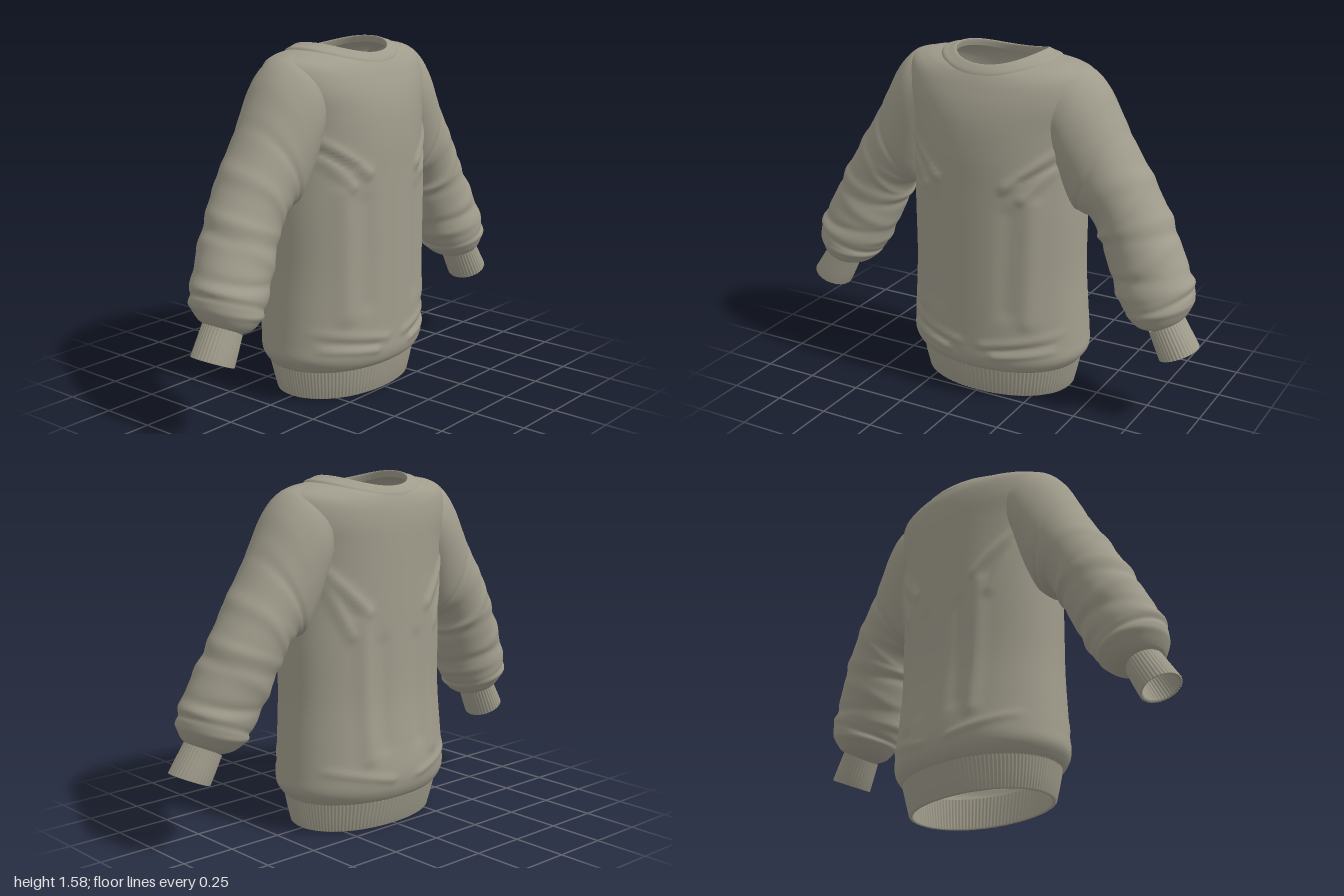
import * as THREE from 'three';

const knit = new THREE.MeshStandardMaterial({ color: 0xa09c8c, side: THREE.DoubleSide });
knit.name = 'greyKnit';

// Catmull-Rom interpolation through rows of numbers, t in row units
function sample(rows, t) {
  const i = Math.min(Math.floor(t), rows.length - 2), f = t - i;
  const at = k => rows[Math.max(0, Math.min(rows.length - 1, k))];
  const [p, q, r, s] = [at(i - 1), at(i), at(i + 1), at(i + 2)];
  return q.map((v, k) => v + 0.5 * f * (r[k] - p[k]
    + f * (2 * p[k] - 5 * v + 4 * r[k] - s[k] + f * (3 * (v - r[k]) + s[k] - p[k]))));
}

// Closed tube from cross-sections; point(i, angle) gives a Vector3
function loft(name, rings, segs, point) {
  const pos = [], index = [];
  for (let i = 0; i < rings; i++) {
    for (let j = 0; j < segs; j++) {
      const p = point(i, (j / segs) * Math.PI * 2);
      pos.push(p.x, p.y, p.z);
      if (i === rings - 1) continue;
      const a = i * segs + j, b = i * segs + (j + 1) % segs;
      index.push(a, a + segs, b, b, a + segs, b + segs);
    }
  }
  const geo = new THREE.BufferGeometry();
  geo.setAttribute('position', new THREE.Float32BufferAttribute(pos, 3));
  geo.setIndex(index);
  geo.computeVertexNormals();
  const mesh = new THREE.Mesh(geo, knit);
  mesh.name = name;
  return mesh;
}

// Horizontal body section: [side height, front/back height, half width, front depth, back depth]
function bodyPoint([ySide, yMid, w, front, back], a, power = 0.95, scale = 1) {
  const c = Math.cos(a), s = Math.sin(a);
  const x = Math.sign(c) * Math.abs(c) ** power * w * scale;
  const z = Math.sign(s) * Math.abs(s) ** power * (s > 0 ? front : back) * scale;
  return new THREE.Vector3(x, yMid + (ySide - yMid) * c * c, z);
}

// Cloth folds: [x1, y1, x2, y2, width, height], mirrored left to right
const frontFolds = [
  [0.37, 1.19, 0.17, 1.03, 0.022, 0.016], [0.35, 1.1, 0.24, 0.98, 0.02, 0.013],
  [0.36, 1.14, 0.23, 1.06, 0.012, -0.012], [0.28, 0.95, 0.27, 0.4, 0.04, 0.012],
  [0.18, 0.9, 0.17, 0.45, 0.04, -0.007], [0.38, 0.33, 0.06, 0.27, 0.018, 0.008],
  [0.36, 0.25, 0.12, 0.22, 0.016, 0.008], [0.36, 0.29, 0.12, 0.25, 0.01, -0.006],
];
const backFolds = [
  [0.37, 1.2, 0.18, 1.0, 0.025, 0.016], [0.35, 1.12, 0.25, 0.9, 0.022, 0.012],
  [0.2, 0.95, 0.19, 0.35, 0.035, 0.012], [0.1, 0.85, 0.1, 0.4, 0.035, -0.008],
  [0.36, 0.3, 0.08, 0.24, 0.018, 0.008],
];
function foldHeight(p) {
  let sum = 0;
  for (const [x1, y1, x2, y2, w, h] of p.z > 0 ? frontFolds : backFolds) {
    const dx = x2 - x1, dy = y2 - y1, px = Math.abs(p.x) - x1, py = p.y - y1;
    const k = THREE.MathUtils.clamp((px * dx + py * dy) / (dx * dx + dy * dy), 0, 1);
    const d = Math.hypot(px - k * dx, py - k * dy);
    sum += h * Math.exp(-((d / w) ** 2));
  }
  return sum;
}

const torsoRows = [
  [0.13, 0.13, 0.38, 0.265, 0.262], [0.155, 0.155, 0.405, 0.295, 0.285],
  [0.2, 0.2, 0.43, 0.31, 0.303], [0.27, 0.27, 0.428, 0.31, 0.308],
  [0.4, 0.4, 0.42, 0.31, 0.293], [0.6, 0.6, 0.41, 0.31, 0.273],
  [0.85, 0.85, 0.412, 0.31, 0.268], [1.0, 1.0, 0.41, 0.31, 0.268],
  [1.15, 1.15, 0.41, 0.31, 0.268], [1.28, 1.28, 0.425, 0.3, 0.268],
  [1.4, 1.37, 0.45, 0.28, 0.266], [1.5, 1.44, 0.43, 0.252, 0.258],
  [1.535, 1.485, 0.36, 0.228, 0.245], [1.55, 1.508, 0.265, 0.21, 0.232],
  [1.56, 1.52, 0.215, 0.196, 0.216],
];

// Neckband, rolling over the opening and down inside
const collarRows = [
  [1.548, 1.493, 0.272, 0.225, 0.242], [1.56, 1.505, 0.262, 0.22, 0.238],
  [1.566, 1.52, 0.235, 0.208, 0.227], [1.576, 1.533, 0.205, 0.194, 0.214],
  [1.572, 1.529, 0.198, 0.187, 0.207], [1.545, 1.5, 0.205, 0.194, 0.214],
];

// Ribbed hem, outside then lining
const hemRows = [
  [0.15, 0.15, 0.368, 0.252, 0.25], [0.006, 0.006, 0.343, 0.23, 0.215],
  [0, 0, 0.352, 0.24, 0.225], [0.006, 0.006, 0.361, 0.249, 0.234],
  [0.07, 0.07, 0.376, 0.262, 0.252], [0.13, 0.13, 0.388, 0.272, 0.27],
  [0.145, 0.145, 0.39, 0.272, 0.272],
];

// Sleeve sections: [outer x, y, inner x, y, centre z, half depth]
const sleeveRows = [
  [0.35, 1.54, 0.3, 1.12, 0, 0.19], [0.43, 1.515, 0.33, 1.03, 0, 0.195],
  [0.5, 1.445, 0.36, 0.95, 0, 0.19], [0.56, 1.34, 0.4, 0.89, 0, 0.182],
  [0.65, 1.18, 0.455, 0.885, 0, 0.174], [0.73, 1.05, 0.495, 0.835, 0, 0.168],
  [0.8, 0.935, 0.52, 0.77, 0.005, 0.164], [0.87, 0.8, 0.565, 0.665, 0.02, 0.16],
  [0.935, 0.67, 0.615, 0.56, 0.038, 0.162], [0.955, 0.58, 0.66, 0.485, 0.045, 0.158],
  [0.932, 0.51, 0.715, 0.44, 0.055, 0.125], [0.905, 0.485, 0.785, 0.425, 0.06, 0.08],
];
const cuffRows = [
  [0.915, 0.5, 0.775, 0.42, 0.06, 0.09], [0.957, 0.435, 0.802, 0.36, 0.064, 0.092],
  [0.998, 0.372, 0.832, 0.298, 0.068, 0.094], [0.995, 0.368, 0.838, 0.298, 0.068, 0.088],
  [0.982, 0.37, 0.845, 0.308, 0.068, 0.081], [0.905, 0.49, 0.785, 0.425, 0.062, 0.08],
];
// Creases around the sleeve: [position, tilt, width, strength]
const creases = [
  [3.35, 0.15, 0.16, -0.035], [4.3, 0.5, 0.28, 0.04], [5.1, -0.4, 0.25, 0.035],
  [5.9, 0.3, 0.22, 0.05], [6.35, 0.3, 0.18, -0.04], [7.0, -0.25, 0.25, 0.045],
  [7.6, 0.25, 0.18, -0.05], [8.1, 0.15, 0.22, 0.05], [8.65, -0.2, 0.16, -0.05],
  [9.1, 0.1, 0.2, 0.04],
];
function armPoint([ox, oy, ix, iy, cz, rz], a, side, scale) {
  const c = Math.cos(a) * scale / 2;
  return new THREE.Vector3(side * ((ox + ix) / 2 + (ox - ix) * c),
    (oy + iy) / 2 + (oy - iy) * c, cz - side * Math.sin(a) * rz * scale);
}

export function createModel() {
  const model = new THREE.Group();
  model.name = 'sweater';

  const steps = 9;
  model.add(loft('torso', (torsoRows.length - 1) * steps + 1, 144, (i, a) => {
    const p = bodyPoint(sample(torsoRows, i / steps), a);
    p.z += Math.sign(p.z) * foldHeight(p) * Math.min(1, Math.abs(Math.sin(a)) * 1.5);
    return p;
  }));

  model.add(loft('collar', (collarRows.length - 1) * 4 + 1, 96,
    (i, a) => bodyPoint(sample(collarRows, i / 4), a)));

  // Rib knit: a fine ripple around the band
  model.add(loft('hem', hemRows.length, 480, (i, a) =>
    bodyPoint(hemRows[i], a, 0.95, 1 + 0.007 * Math.cos(a * 120))));

  for (const side of [1, -1]) {
    const arm = new THREE.Group();
    arm.name = side > 0 ? 'leftSleeve' : 'rightSleeve';
    arm.add(loft('sleeve', (sleeveRows.length - 1) * 12 + 1, 64, (i, a) => {
      const t = i / 12;
      let scale = 1;
      for (const [pos, tilt, w, h] of creases) {
        const d = (t - pos - tilt * Math.cos(a - 0.6)) / w;
        scale += h * Math.exp(-d * d) * (0.65 + 0.35 * Math.cos(a * 2 + pos * 3));
      }
      return armPoint(sample(sleeveRows, t), a, side, scale);
    }));
    arm.add(loft('cuff', cuffRows.length, 144, (i, a) =>
      armPoint(cuffRows[i], a, side, 1 + 0.018 * Math.cos(a * 36))));
    model.add(arm);
  }
  return model;
}
